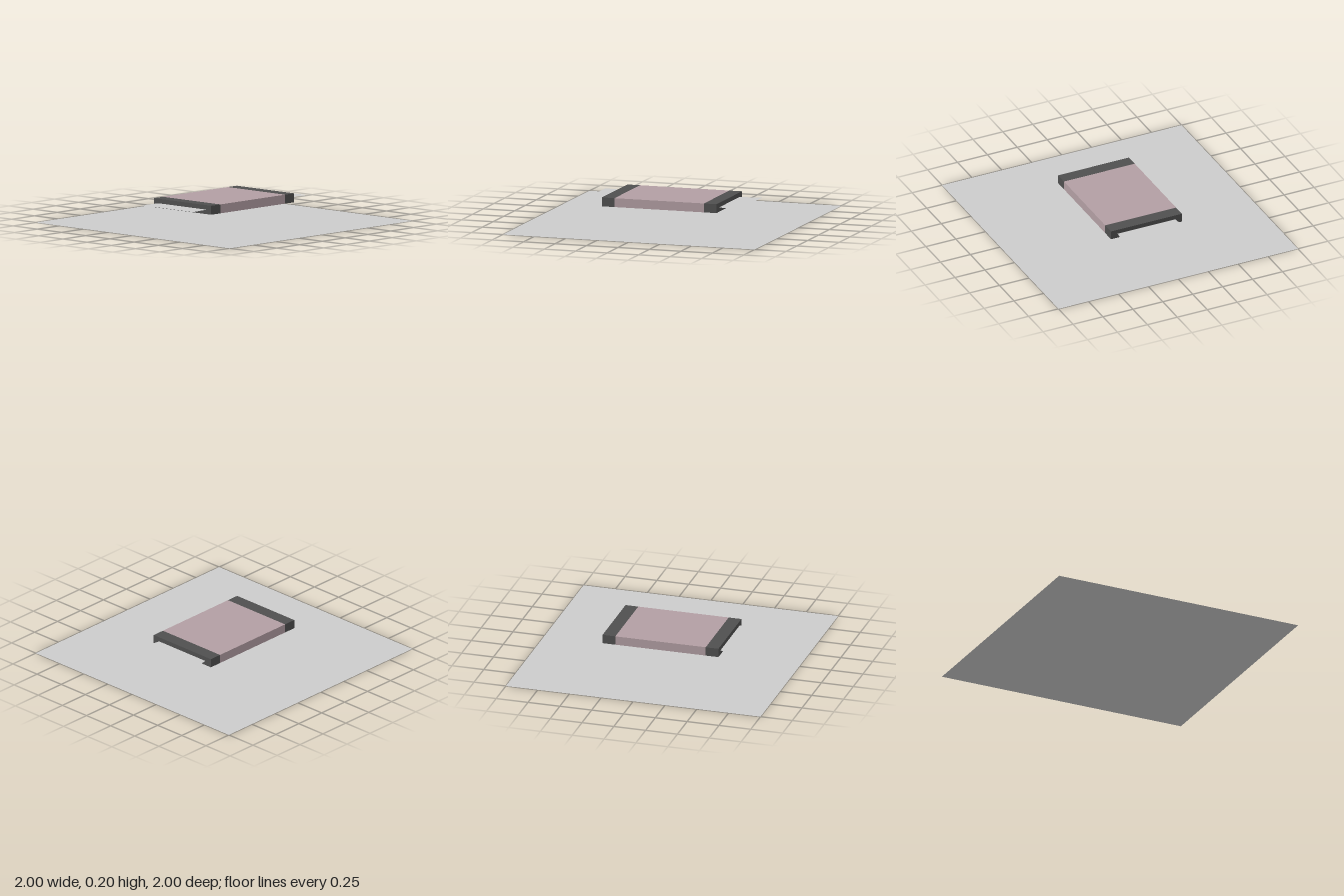
import * as THREE from 'three';

const material = (color, side = THREE.FrontSide) =>
  new THREE.MeshStandardMaterial({ color, side, flatShading: true });

export function createModel() {
  const model = new THREE.Group();
  const grey = material(0xcccccc, THREE.DoubleSide);
  const pink = material(0xb29ea3);
  const dark = material(0x4f4f4f);

  const add = (name, geometry, mat, y, z) => {
    const mesh = new THREE.Mesh(geometry, mat);
    mesh.name = name;
    mesh.position.set(0, y, z);
    model.add(mesh);
  };

  const width = 0.592, height = 0.068, midY = 0.163;
  const bodyLength = 0.71, capLength = 0.1;
  const blockEnd = bodyLength / 2 + capLength;

  // Flat square base sheet
  add('baseSheet', new THREE.PlaneGeometry(2, 2).rotateX(-Math.PI / 2), grey, 0, 0);

  // Component body between two end caps
  add('body', new THREE.BoxGeometry(width, height, bodyLength), pink, midY, 0);

  // Each end has a cap and a thin horizontal tab that widens outward
  const ends = [
    { name: 'front', sign: 1, inner: 0.248, outer: 0.264, reach: 0.62 },
    { name: 'back', sign: -1, inner: 0.24, outer: 0.264, reach: 0.626 },
  ];
  for (const { name, sign, inner, outer, reach } of ends) {
    add(`${name}Cap`, new THREE.BoxGeometry(width, height, capLength), dark,
      midY, sign * (blockEnd - capLength / 2));

    const outline = new THREE.Shape([
      new THREE.Vector2(-inner, -sign * blockEnd),
      new THREE.Vector2(inner, -sign * blockEnd),
      new THREE.Vector2(outer, -sign * reach),
      new THREE.Vector2(-outer, -sign * reach),
    ]);
    add(`${name}Tab`, new THREE.ShapeGeometry(outline).rotateX(-Math.PI / 2), grey, midY, 0);
  }

  return model;
}
